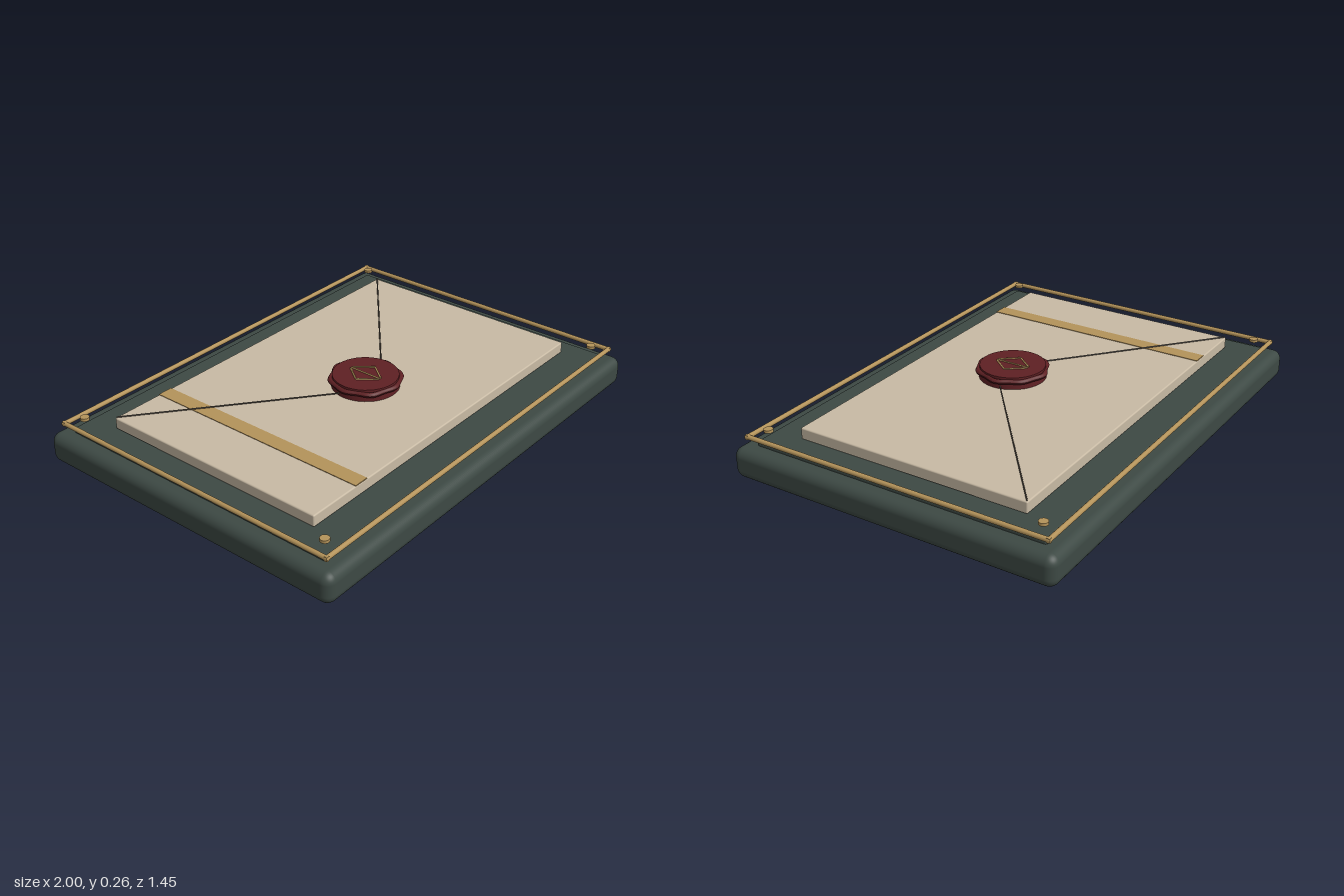
import * as THREE from 'three';
import { RoundedBoxGeometry } from 'three/addons/geometries/RoundedBoxGeometry.js';

const material = (name, color) => {
  const m = new THREE.MeshStandardMaterial({ color });
  m.name = name;
  return m;
};

export function createModel() {
  const green = material('dark green', 0x3d4944);
  const gold = material('brass', 0xb4935a);
  const paper = material('paper', 0xc8baa4);
  const ink = material('seam grey', 0x5c544a);
  const wax = material('wax red', 0x5f2023);

  const model = new THREE.Group();
  model.name = 'sealedLetterOnTray';

  const add = (name, geometry, mat, x = 0, y = 0, z = 0, parent = model) => {
    const mesh = new THREE.Mesh(geometry, mat);
    mesh.name = name;
    mesh.position.set(x, y, z);
    parent.add(mesh);
    return mesh;
  };

  // Round or square bar between two points
  const rod = (name, a, b, radius, mat, sides = 12, parent = model) => {
    const from = new THREE.Vector3(...a), to = new THREE.Vector3(...b);
    const dir = to.clone().sub(from);
    const mesh = add(name, new THREE.CylinderGeometry(radius, radius, dir.length(), sides), mat, 0, 0, 0, parent);
    mesh.position.copy(from).add(to).multiplyScalar(0.5);
    mesh.quaternion.setFromUnitVectors(new THREE.Vector3(0, 1, 0), dir.normalize());
    return mesh;
  };

  // Tray: heavy rounded base and a thin raised panel
  add('base', new RoundedBoxGeometry(2, 0.13, 1.45, 5, 0.04), green, 0, 0.065, 0);
  add('panel', new RoundedBoxGeometry(1.86, 0.05, 1.31, 3, 0.014), green, 0, 0.125, 0);

  // Brass rail around the tray, hovering just above it
  const rx = 0.952, rz = 0.676, ry = 0.17;
  for (const s of [-1, 1]) {
    rod('longRail', [-rx - 0.008, ry, s * rz], [rx + 0.008, ry, s * rz], 0.01, gold);
    rod('shortRail', [s * rx, ry, -rz - 0.008], [s * rx, ry, rz + 0.008], 0.01, gold);
    // Corner studs
    for (const t of [-1, 1]) {
      add('stud', new THREE.CylinderGeometry(0.019, 0.019, 0.012, 16), gold, s * 0.895, 0.19, t * 0.62);
    }
  }

  // Envelope with its ribbon and flap seams
  add('envelope', new RoundedBoxGeometry(1.66, 0.05, 1.03, 2, 0.006), paper, 0, 0.176, 0);
  add('ribbon', new THREE.BoxGeometry(0.066, 0.004, 1.026), gold, -0.564, 0.2015, 0);
  for (const s of [-1, 1]) {
    rod('flapSeam', [s * 0.825, 0.204, -0.51], [s * 0.02, 0.212, 0.15], 0.003, ink, 6);
  }

  // Wax seal: round body with an uneven squeezed-out rim
  const seal = new THREE.Group();
  seal.name = 'seal';
  seal.position.set(0, 0.2, 0.08);
  model.add(seal);
  add('sealBody', new THREE.CylinderGeometry(0.138, 0.142, 0.052, 40), wax, 0, 0.026, 0, seal);

  const rim = new THREE.TorusGeometry(0.142, 0.011, 8, 64);
  rim.rotateX(Math.PI / 2);
  const p = rim.attributes.position;
  for (let i = 0; i < p.count; i++) {
    const a = Math.atan2(p.getZ(i), p.getX(i));
    const k = 1 + 0.03 * Math.cos(8 * a + 0.4) + 0.015 * Math.cos(5 * a + 1);
    p.setXYZ(i, p.getX(i) * k, p.getY(i), p.getZ(i) * k);
  }
  rim.computeVertexNormals();
  add('sealRim', rim, wax, 0, 0.034, 0, seal);

  // Diamond ornament with a split centre
  const w = 0.064, h = 0.074, y = 0.053;
  for (const s of [-1, 1]) {
    for (const t of [-1, 1]) {
      rod('diamondBar', [s * 0.006, y, t * h], [s * w, y, 0], 0.004, gold, 6, seal);
    }
  }
  rod('diamondSpine', [0, y, -h], [0, y, h], 0.004, gold, 6, seal);

  return model;
}
